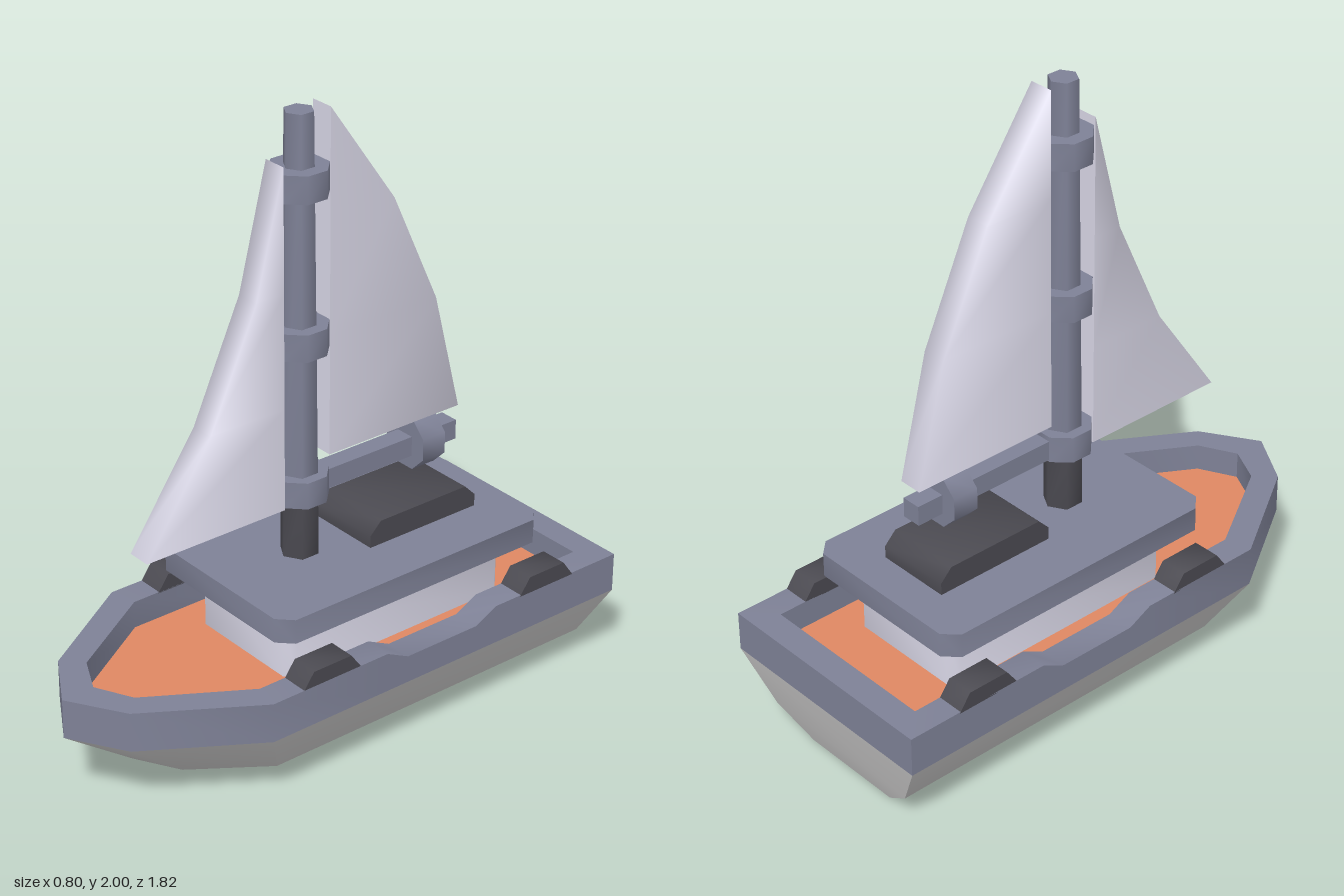
import * as THREE from 'three';
import { mergeGeometries, toCreasedNormals } from 'three/addons/utils/BufferGeometryUtils.js';

const mat = (name, color, side = THREE.FrontSide) => {
  const m = new THREE.MeshStandardMaterial({ color, side });
  m.name = name;
  return m;
};

// Quads between successive closed rings of [x, y, z] points
function loft(rings) {
  const pos = [];
  for (let r = 0; r < rings.length - 1; r++) {
    const a = rings[r], b = rings[r + 1], n = a.length;
    for (let i = 0; i < n; i++) {
      const j = (i + 1) % n;
      pos.push(...a[i], ...b[i], ...b[j], ...a[i], ...b[j], ...a[j]);
    }
  }
  const g = new THREE.BufferGeometry();
  g.setAttribute('position', new THREE.Float32BufferAttribute(pos, 3));
  return toCreasedNormals(g, 0.62);
}

// Completes a half outline (stern to bow, last point on the centre line)
const mirror = (half) => [
  ...half,
  ...half.slice(0, -1).reverse().map(([x, ...rest]) => [-x, ...rest]),
];

const flatShape = (pts) => new THREE.Shape(pts.map(([x, z]) => new THREE.Vector2(x, -z)));

// Upright slab with softened corners
function slab(hw, z0, z1, y0, y1, c) {
  const shape = flatShape([
    [hw, z1 - c], [hw, z0 + c], [hw - c, z0], [c - hw, z0],
    [-hw, z0 + c], [-hw, z1 - c], [c - hw, z1], [hw - c, z1],
  ]);
  const g = new THREE.ExtrudeGeometry(shape, { depth: y1 - y0, bevelEnabled: false });
  return toCreasedNormals(g.rotateX(-Math.PI / 2).translate(0, y0, 0), 0.9);
}

// Low block with sloped ends, its (z, y) profile swept across x
function hump(x0, width, pts) {
  const shape = new THREE.Shape(pts.map(([z, y]) => new THREE.Vector2(-z, y)));
  const g = new THREE.ExtrudeGeometry(shape, { depth: width, bevelEnabled: false });
  return toCreasedNormals(g.rotateY(Math.PI / 2).translate(x0, 0, 0), 1.1);
}

// Thick sail: rows of [width, y] from foot to head, shaded softly over the outer edge
function sail(rows, z0, forward) {
  const t = 0.04, pos = [], idx = [];
  rows.forEach(([w, y]) => pos.push(t, y, 0, t, y, -w, -t, y, -w, -t, y, 0));
  for (let r = 0; r < rows.length - 1; r++) {
    for (let c = 0; c < 3; c++) {
      const a = r * 4 + c, b = a + 4;
      idx.push(a, a + 1, b + 1, a, b + 1, b);
    }
  }
  const skin = new THREE.BufferGeometry();
  skin.setAttribute('position', new THREE.Float32BufferAttribute(pos, 3));
  skin.setIndex(idx);
  // Flat inner edge and foot
  const [w, y0] = rows[0], y1 = rows[rows.length - 1][1];
  const plane = (h) => {
    const p = new THREE.PlaneGeometry(2 * t, h).toNonIndexed();
    p.deleteAttribute('uv');
    return p;
  };
  const luff = plane(y1 - y0).translate(0, (y0 + y1) / 2, 0);
  const foot = plane(w).rotateX(Math.PI / 2).translate(0, y0, -w / 2);
  const g = mergeGeometries([toCreasedNormals(skin, 1.6), luff, foot]);
  if (forward) g.rotateY(Math.PI);
  return g.translate(0, 0, z0);
}

export function createModel() {
  const boat = new THREE.Group();
  boat.name = 'sailboat';
  const trim = mat('slate trim', 0x7e8196);
  const hullGrey = mat('hull grey', 0xcdcccc);
  const dark = mat('charcoal', 0x4a4950);
  const wood = mat('deck orange', 0xdf8862);
  const cloth = mat('pale lavender', 0xdad8e8, THREE.DoubleSide);
  const add = (name, geometry, material) => {
    const m = new THREE.Mesh(geometry, material);
    m.name = name;
    boat.add(m);
    return m;
  };

  // Hull, with a centre-line ring closing the bottom
  const level = (y, half) => mirror(half).map(([x, z]) => [x, y, z]);
  const keel = level(0, [[0.18, -0.82], [0.18, 0.14], [0.09, 0.27], [0, 0.32]]);
  add('hull', loft([
    keel.map(([, y, z]) => [0, y, z]),
    keel,
    level(0.095, [[0.3, -0.86], [0.3, 0.36], [0.14, 0.59], [0, 0.67]]),
    level(0.27, [[0.4, -0.91], [0.4, 0.45], [0.18, 0.8], [0, 0.91]]),
  ]), hullGrey);

  // Rail: outer x, z, inner x, z and top height, dipping amidships
  const railHalf = [
    [0.4, -0.91, 0.31, -0.82, 0.4], [0.4, -0.41, 0.31, -0.41, 0.4],
    [0.4, -0.33, 0.31, -0.33, 0.36], [0.4, -0.06, 0.31, -0.06, 0.36],
    [0.4, 0.02, 0.31, 0.02, 0.4], [0.4, 0.45, 0.31, 0.43, 0.4],
    [0.18, 0.8, 0.12, 0.74, 0.4], [0, 0.91, 0, 0.8, 0.4],
  ];
  const outer = mirror(railHalf.map(([x, z, , , y]) => [x, z, y]));
  const inner = mirror(railHalf.map(([, , x, z, y]) => [x, z, y]));
  add('rail', loft([
    outer.map(([x, z]) => [x, 0.27, z]),
    outer.map(([x, z, y]) => [x, y, z]),
    inner.map(([x, z, y]) => [x, y, z]),
    inner.map(([x, z]) => [x, 0.29, z]),
  ]), trim);

  add('deck', new THREE.ShapeGeometry(flatShape(inner)).rotateX(-Math.PI / 2).translate(0, 0.31, 0), wood);

  // Fenders on the rail
  for (const x0 of [-0.4, 0.31]) {
    for (const zc of [0.23, -0.62]) {
      add('fender', hump(x0, 0.09, [
        [zc + 0.11, 0.395], [zc + 0.07, 0.45], [zc - 0.07, 0.45], [zc - 0.11, 0.395],
      ]), dark);
    }
  }

  // Cabin, roof and hatch
  add('cabin', slab(0.22, -0.6, 0.25, 0.31, 0.5, 0.03), cloth);
  add('roof', slab(0.31, -0.685, 0.34, 0.5, 0.58, 0.045), trim);
  add('hatch', hump(-0.127, 0.254, [
    [-0.14, 0.58], [-0.14, 0.62], [-0.18, 0.66], [-0.52, 0.66], [-0.56, 0.62], [-0.56, 0.58],
  ]), dark);

  // Mast with three bands
  const mastZ = 0.033;
  const prism = (r1, r0, h, n) => toCreasedNormals(new THREE.CylinderGeometry(r1, r0, h, n), 1.2);
  add('mastFoot', prism(0.06, 0.062, 0.2, 6), dark).position.set(0, 0.67, mastZ);
  add('mast', prism(0.046, 0.06, 1.23, 6), trim).position.set(0, 1.385, mastZ);
  for (const y of [0.812, 1.297, 1.79]) {
    const band = add('mastBand', prism(0.092, 0.092, 0.087, 8), trim);
    band.position.set(0, y, mastZ);
    band.rotation.y = Math.PI / 8;
  }

  // Boom and its clamp
  add('boom', new THREE.BoxGeometry(0.065, 0.065, 0.54), trim).position.set(0, 0.808, -0.29);
  const clamp = prism(0.092, 0.092, 0.088, 8).rotateY(Math.PI / 8).rotateX(Math.PI / 2);
  add('boomClamp', clamp, trim).position.set(0, 0.815, -0.425);

  // Sails
  add('mainSail', sail([[0.51, 0.895], [0.41, 1.29], [0.24, 1.66], [0, 2]], -0.05, false), cloth);
  add('foreSail', sail([[0.505, 0.765], [0.27, 1.1], [0.1, 1.47], [0, 1.86]], 0.12, true), cloth);

  return boat;
}
